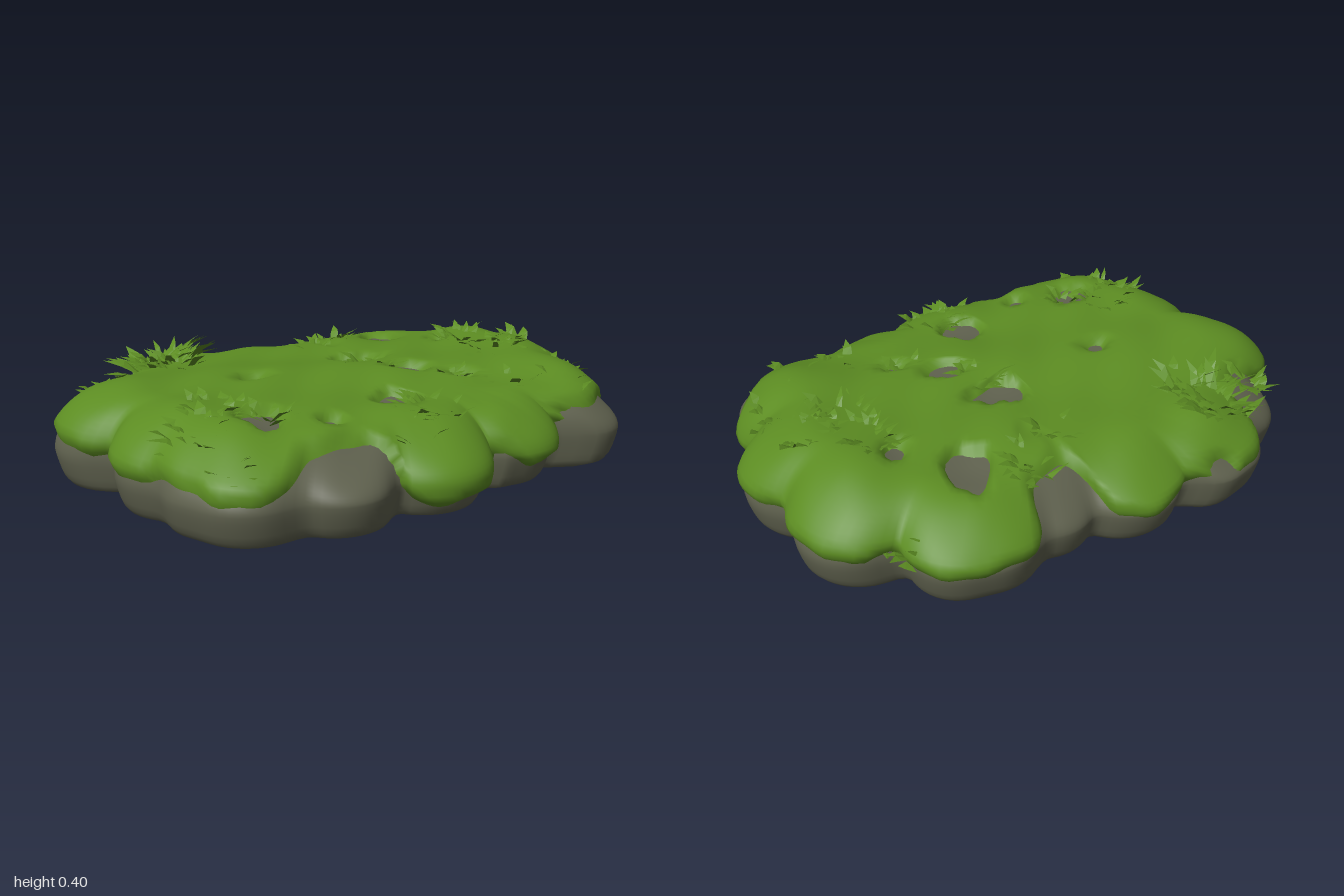
import * as THREE from 'three';

const moss = new THREE.MeshStandardMaterial({ color: 0x5c8c22, side: THREE.DoubleSide });
moss.name = 'mossGreen';
const stone = new THREE.MeshStandardMaterial({ color: 0x5f614e });
stone.name = 'stoneGrey';

// rim stones: x, z, radius, height where the moss stops
const STONES = [
  [-0.79, -0.20, 0.205, 0.18], [-0.64, -0.43, 0.18, 0.26], [-0.45, -0.56, 0.18, 0.16],
  [-0.38, -0.60, 0.155, 0.17], [-0.07, -0.54, 0.20, 0.14], [0.22, -0.50, 0.17, 0.29],
  [0.46, -0.49, 0.21, 0.15], [0.55, -0.51, 0.165, 0.15], [0.75, -0.25, 0.20, 0.16],
  [0.78, 0.06, 0.20, 0.16], [0.68, 0.36, 0.18, 0.12], [0.65, 0.47, 0.175, 0.25],
  [0.30, 0.48, 0.185, 0.10], [0.22, 0.58, 0.08, 0.20], [-0.06, 0.54, 0.20, 0.07],
  [-0.40, 0.55, 0.185, 0.26], [-0.65, 0.46, 0.195, 0.18], [-0.70, 0.38, 0.18, 0.18],
  [-0.74, 0.16, 0.19, 0.17],
];
// hollows where bare stone shows: x, z, radius
const PATCHES = [
  [-0.35, -0.05, 0.045], [0.12, -0.09, 0.08], [0.42, -0.40, 0.09], [0.19, 0.12, 0.055],
  [-0.55, 0.36, 0.075], [-0.04, 0.36, 0.08], [-0.70, -0.51, 0.10], [0.22, -0.63, 0.09],
  [0.58, -0.20, 0.035], [0.32, 0.26, 0.03], [-0.36, -0.74, 0.055], [-0.34, 0.45, 0.03],
];
// grass tufts: x, z, spread, number of blades, blade length
const TUFTS = [
  [-0.48, -0.52, 0.11, 60, 0.13], [-0.46, -0.40, 0.06, 18, 0.10], [-0.62, 0.25, 0.10, 26, 0.08],
  [-0.75, 0.35, 0.09, 22, 0.08], [-0.72, 0.52, 0.07, 14, 0.06], [0.10, -0.36, 0.06, 14, 0.08],
  [0.25, -0.48, 0.07, 18, 0.08], [0.70, -0.47, 0.05, 16, 0.09], [0.62, -0.10, 0.09, 28, 0.09],
  [0.62, 0.06, 0.08, 26, 0.08], [0.76, 0.02, 0.08, 18, 0.08], [0.76, 0.27, 0.08, 18, 0.08],
  [0.43, 0.40, 0.06, 20, 0.08], [0.00, 0.50, 0.09, 28, 0.08], [-0.15, 0.60, 0.07, 12, 0.06],
  [0.12, 0.02, 0.07, 14, 0.08], [-0.72, -0.46, 0.06, 14, 0.09], [0.30, 0.24, 0.05, 8, 0.06],
  [-0.50, 0.34, 0.05, 12, 0.07], [0.60, 0.48, 0.06, 8, 0.06],
];

const COLS = 220, DOME = 0.25, WAIST = 0.14;

let seed = 7;
const rand = () => (seed = (seed * 16807) % 2147483647) / 2147483647;
const noise = (x, z) =>
  (Math.sin(11 * x + 3 * z) + Math.sin(13 * z - 5 * x + 1) + Math.sin(23 * x + 19 * z + 2) * 0.6) / 2.6;

// distance from the centre to the rim in one direction
function rayRim(a) {
  const c = Math.cos(a), s = Math.sin(a);
  let best = 1 / Math.hypot(c / 0.80, s / 0.58);
  for (const [x, z, r] of STONES) {
    const b = x * c + z * s, q = b * b - x * x - z * z + r * r;
    if (q > 0) best = Math.max(best, b + Math.sqrt(q));
  }
  return best;
}
// the rim averaged over a small angle
function rim(a, step = 0.013) {
  let sum = 0;
  for (let i = -3; i <= 3; i++) sum += rayRim(a + i * step);
  return sum / 7;
}
// where the upper surface starts to round off: follows the rim loosely
const shoulder = (a) => rim(a, 0.07) - DOME;

// height of the upper surface before it rounds off
function crown(x, z) {
  let y = 0.32 - 0.17 * z * z + 0.012 * noise(x, z);
  for (const [sx, sz, r] of STONES) {
    y += 0.018 * Math.exp(-2 * ((x - sx) ** 2 + (z - sz) ** 2) / (r * r));
  }
  for (const [px, pz, r] of PATCHES) {
    y -= r * 0.18 * Math.exp(-((x - px) ** 2 + (z - pz) ** 2) / (2 * r * r));
  }
  return y;
}
function topY(x, z) {
  const a = Math.atan2(z, x), inner = shoulder(a);
  const u = (Math.hypot(x, z) - inner) / (rim(a) - inner);
  const y = crown(x, z);
  return u <= 0 ? y : WAIST + (y - WAIST) * Math.sqrt(Math.max(0, 1 - u * u));
}

// rings running from the centre of the top, over the rim, to the centre of the bottom
const ROWS = [];
for (let i = 0; i < 20; i++) ROWS.push((R, inner, c, s) => {
  const p = inner * i / 20;
  return [p, crown(p * c, p * s)];
});
for (let i = 0; i <= 16; i++) ROWS.push((R, inner, c, s) => {
  const t = i / 16 * Math.PI / 2, p = inner + (R - inner) * Math.sin(t);
  return [p, WAIST + (crown(p * c, p * s) - WAIST) * Math.cos(t)];
});
for (const [inset, y] of [[0.003, 0.12], [0.008, 0.1], [0.015, 0.075], [0.024, 0.052], [0.038, 0.034], [0.075, 0.024]]) {
  ROWS.push((R) => [R - inset, y]);
}
const MOSS_ROWS = ROWS.length - 2;
for (const f of [0.75, 0.5, 0.25, 0]) {
  ROWS.push((R, inner, c, s) => [R * f, 0.013 + 0.012 * noise(R * f * c, R * f * s)]);
}

function gridIndex(rows) {
  const index = [];
  for (let i = 0; i < rows - 1; i++) for (let j = 0; j < COLS; j++) {
    const k = (j + 1) % COLS, a = i * COLS + j, b = i * COLS + k;
    index.push(a, b, a + COLS, b, b + COLS, a + COLS);
  }
  return index;
}

function surface(positions, index) {
  const g = new THREE.BufferGeometry();
  g.setAttribute('position', new THREE.Float32BufferAttribute(positions, 3));
  if (index) g.setIndex(index);
  g.computeVertexNormals();
  return g;
}

function bodyGeometry() {
  const pos = [];
  const angles = Array.from({ length: COLS }, (_, j) => j / COLS * Math.PI * 2);
  const rims = angles.map((a) => rim(a)), inners = angles.map(shoulder);
  for (const row of ROWS) for (let j = 0; j < COLS; j++) {
    const c = Math.cos(angles[j]), s = Math.sin(angles[j]);
    const [p, y] = row(rims[j], inners[j], c, s);
    pos.push(p * c, y, p * s);
  }
  return surface(pos, gridIndex(ROWS.length));
}

// moss thickness: positive where it grows, negative where it sinks into the stone
function mossDepth(x, y, z) {
  let w = 1e-6, edge = 0;
  for (const [sx, sz, r, m] of STONES) {
    const k = Math.exp(-3 * ((x - sx) ** 2 + (z - sz) ** 2) / (r * r));
    w += k;
    edge += k * m;
  }
  let f = y - edge / w + 0.02 * noise(x * 1.7, z * 1.7);
  for (const [px, pz, r] of PATCHES) {
    const d = Math.hypot(x - px, z - pz);
    f = Math.min(f, d - r * (0.85 + 0.4 * noise(x * 2.5 + px, z * 2.5)));
  }
  return THREE.MathUtils.clamp(f, -0.02, 0.028);
}

function mossGeometry(body) {
  const p = body.attributes.position, n = body.attributes.normal, pos = [];
  for (let i = 0; i < MOSS_ROWS * COLS; i++) {
    const x = p.getX(i), y = p.getY(i), z = p.getZ(i), d = mossDepth(x, y, z);
    pos.push(x + n.getX(i) * d, y + n.getY(i) * d, z + n.getZ(i) * d);
  }
  return surface(pos, gridIndex(MOSS_ROWS));
}

// a tuft of short, bent, pointed blades
function tuftGeometry([cx, cz, spread, count, length]) {
  const pos = [];
  for (let i = 0; i < count; i++) {
    const a = rand() * Math.PI * 2, q = spread * Math.sqrt(rand());
    const x = cx + Math.cos(a) * q, z = cz + Math.sin(a) * q, y = topY(x, z) + 0.012;
    const h = a + (rand() - 0.5) * 2, L = length * (0.5 + 0.6 * rand()), lift = L * (0.15 + 0.55 * rand());
    const dx = Math.cos(h), dz = Math.sin(h), w = 0.01 + 0.012 * rand();
    const at = (t, side, up) => [x + dx * L * t - dz * w * side, y + up, z + dz * L * t + dx * w * side];
    const A = at(0, -1, 0), B = at(0, 1, 0), C = at(0.5, 0.9, lift * 0.8), D = at(0.5, -0.7, lift * 0.6);
    const T = at(1, 0, lift);
    for (const v of [A, B, C, A, C, D, D, C, T]) pos.push(...v);
  }
  return surface(pos);
}

export function createModel() {
  const group = new THREE.Group();
  group.name = 'mossyRockSlab';
  const add = (name, geometry, material) => {
    const mesh = new THREE.Mesh(geometry, material);
    mesh.name = name;
    group.add(mesh);
  };
  const body = bodyGeometry();
  add('stoneSlab', body, stone);
  add('mossBlanket', mossGeometry(body), moss);
  TUFTS.forEach((t, i) => add('grassTuft' + (i + 1), tuftGeometry(t), moss));
  return group;
}
